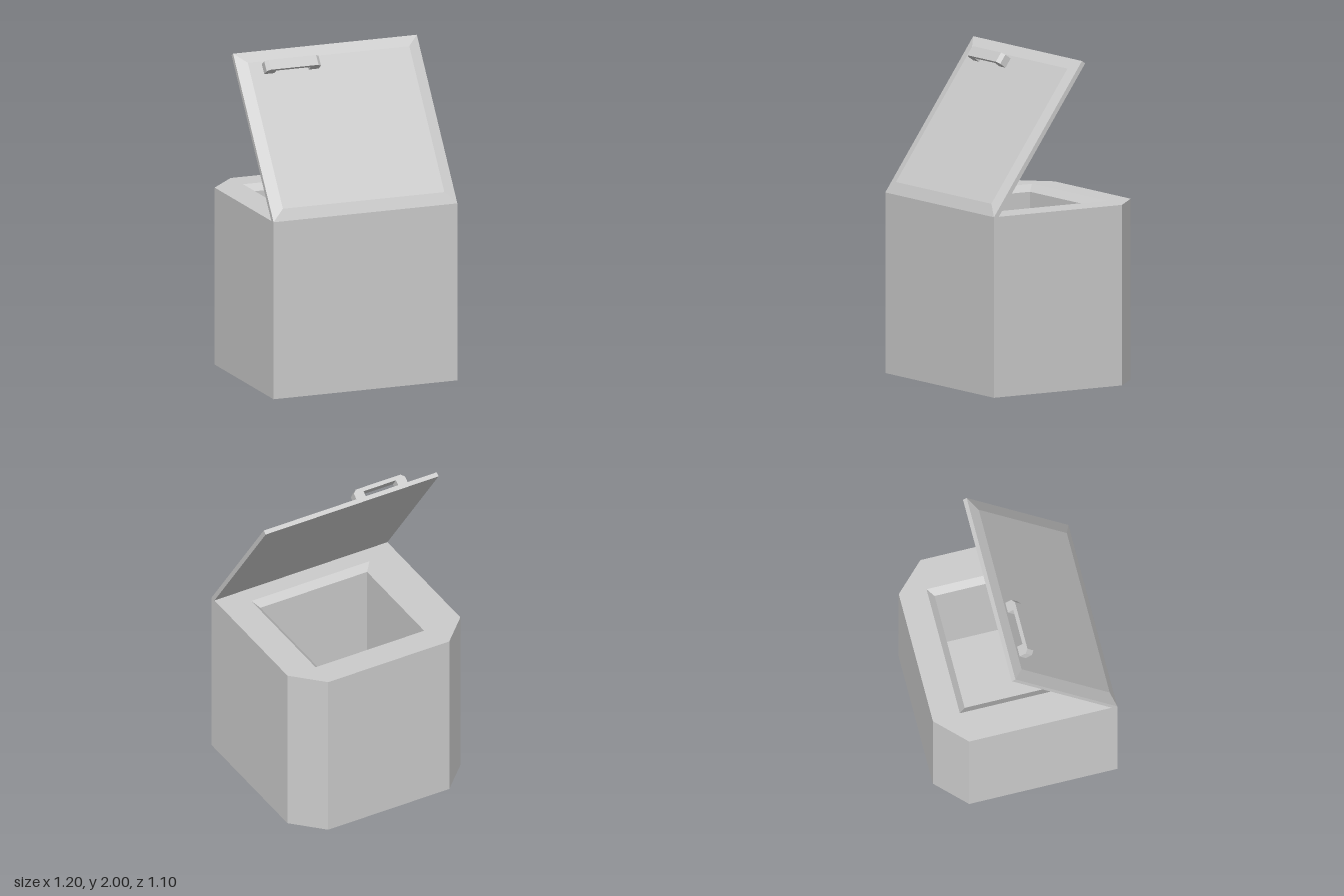
import * as THREE from 'three';

const material = new THREE.MeshStandardMaterial({ color: 0xcccccc, flatShading: true });

// Ring of [x, z] corners (counterclockwise from above) lifted to height y.
const ring = (corners, y) => corners.map(([x, z]) => new THREE.Vector3(x, y, z));
const rect = (hx, front, back) => [[hx, front], [hx, back], [-hx, back], [-hx, front]];

// Joins rings into one flat-faced skin, closed at the first and last ring.
function loft(rings) {
  const pos = [];
  const tri = (a, b, c) => {
    if (a.equals(b) || b.equals(c) || a.equals(c)) return;
    pos.push(...a.toArray(), ...b.toArray(), ...c.toArray());
  };
  const n = rings[0].length;
  for (let r = 0; r < rings.length - 1; r++) {
    const lo = rings[r], up = rings[r + 1];
    for (let i = 0; i < n; i++) {
      const j = (i + 1) % n;
      tri(lo[i], lo[j], up[j]);
      tri(lo[i], up[j], up[i]);
    }
  }
  const first = rings[0], last = rings[rings.length - 1];
  for (let i = 1; i < n - 1; i++) {
    tri(first[0], first[i + 1], first[i]);
    tri(last[0], last[i], last[i + 1]);
  }
  const geo = new THREE.BufferGeometry();
  geo.setAttribute('position', new THREE.Float32BufferAttribute(pos, 3));
  geo.computeVertexNormals();
  return geo;
}

function part(name, geometry) {
  const mesh = new THREE.Mesh(geometry, material);
  mesh.name = name;
  return mesh;
}

export function createModel() {
  const model = new THREE.Group();
  model.name = 'binWithLid';

  // Body: chamfered back corners, flat lip, sloped rim and deep cavity in one skin
  const outer = [[0.6, 0.55], [0.6, -0.37], [0.42, -0.55], [-0.42, -0.55], [-0.6, -0.37], [-0.6, 0.55]];
  // Opening rectangle with doubled back corners, to pair with the six outer corners
  const opening = (hx, front, back) => {
    const [a, b, c, d] = rect(hx, front, back);
    return [a, b, b, c, c, d];
  };
  model.add(part('body', loft([
    ring(outer, 0),
    ring(outer, 1.1),
    ring(opening(0.41, 0.4, -0.38), 1.1),
    ring(opening(0.37, 0.36, -0.34), 1.06),
    ring(opening(0.37, 0.36, -0.34), 0.2),
  ])));

  // Lid assembly: hinged on the front top edge, swung open
  const lid = new THREE.Group();
  lid.name = 'lidAssembly';
  lid.position.set(0, 1.1, 0.55);
  lid.rotation.x = THREE.MathUtils.degToRad(54.9);
  model.add(lid);

  // Lid panel with a bevelled outer face
  const edge = rect(0.6, 0, -1.1);
  lid.add(part('lid', loft([
    ring(edge, -0.028),
    ring(edge, 0),
    ring(rect(0.527, -0.074, -1.026), 0.017),
  ])));

  // Handle: bracket with chamfered outer corners, off to one side
  const profile = [
    [-0.44, 0.01], [-0.375, 0.01], [-0.375, 0.058], [-0.15, 0.058], [-0.15, 0.01],
    [-0.085, 0.01], [-0.085, 0.063], [-0.108, 0.083], [-0.417, 0.083], [-0.44, 0.063],
  ];
  const shape = new THREE.Shape(profile.map(([x, y]) => new THREE.Vector2(x, y)));
  const handle = part('handle', new THREE.ExtrudeGeometry(shape, { depth: 0.065, bevelEnabled: false }));
  handle.position.z = -1.008;
  lid.add(handle);

  return model;
}
